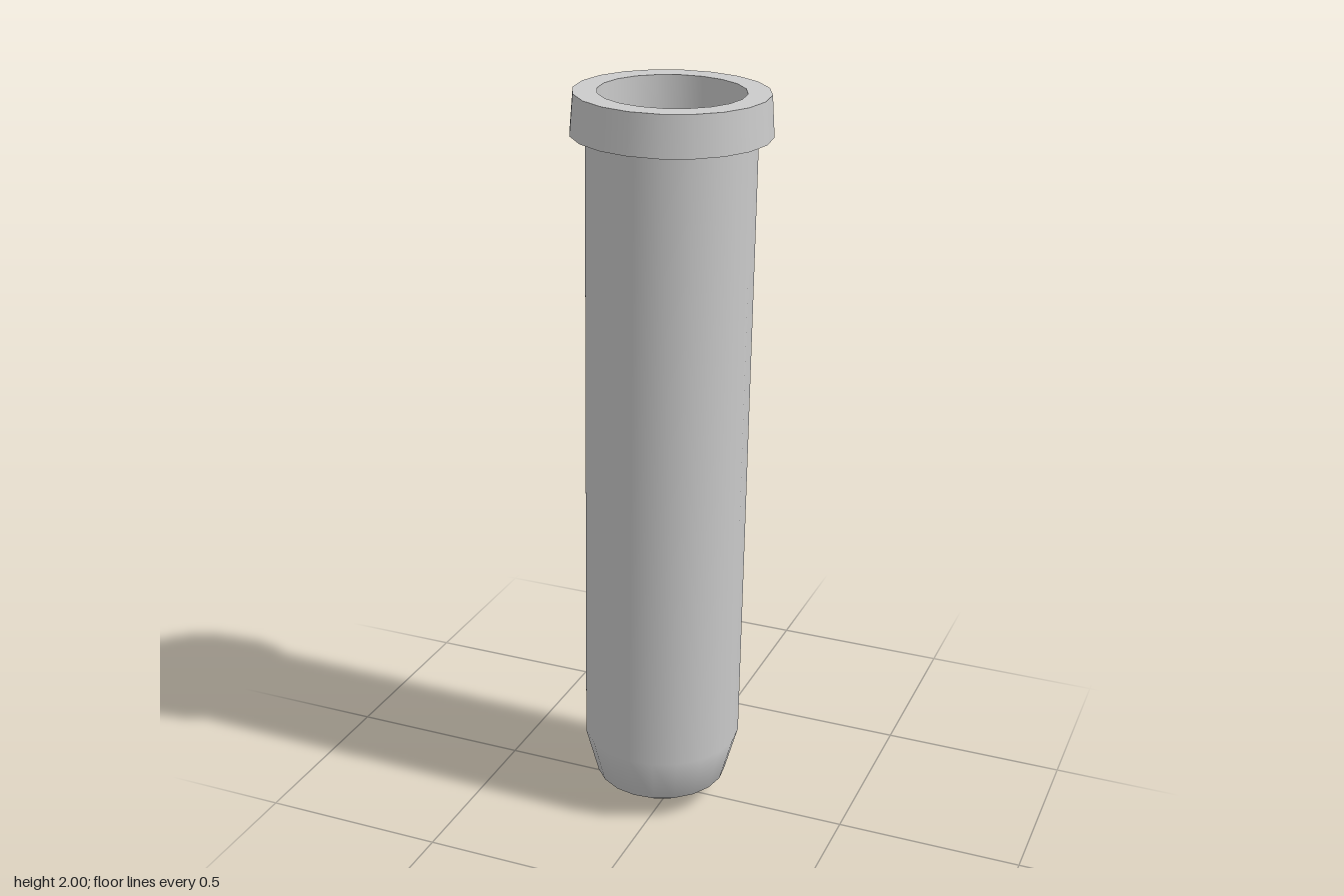
import * as THREE from 'three';
import { mergeGeometries } from 'three/addons/utils/BufferGeometryUtils.js';

const SIDES = 20;
const PHASE = -0.04;
const material = new THREE.MeshStandardMaterial({ color: 0xcccccc, side: THREE.DoubleSide });

// Surface of revolution, smooth within one profile
const lathe = (profile) =>
  new THREE.LatheGeometry(profile.map(([r, y]) => new THREE.Vector2(r, y)), SIDES, PHASE);

function part(name, profiles) {
  const mesh = new THREE.Mesh(mergeGeometries(profiles.map(lathe)), material);
  mesh.name = name;
  return mesh;
}

export function createModel() {
  const model = new THREE.Group();
  model.name = 'testTube';

  // Tube wall curving in to the base
  const wall = part('tubeWall', [[[0.125, 0.037], [0.18, 0.075], [0.215, 0.206], [0.215, 1.892]]]);

  // Shallow cone closing the base, creased where it meets the wall
  const tip = part('baseTip', [[[0, 0.004], [0.125, 0.037]]]);

  // Tapered collar: four faces with sharp edges between them
  const corners = [[0.185, 1.892], [0.253, 1.892], [0.245, 1.996], [0.185, 1.996]];
  const rim = part('rim', corners.map((c, i) => [c, corners[(i + 1) % 4]]));

  // The whole tube leans slightly toward +x
  const tube = new THREE.Group();
  tube.name = 'leaningTube';
  tube.add(wall, tip, rim);
  tube.rotation.z = -0.0176;
  tube.position.x = -0.035;
  model.add(tube);
  return model;
}
